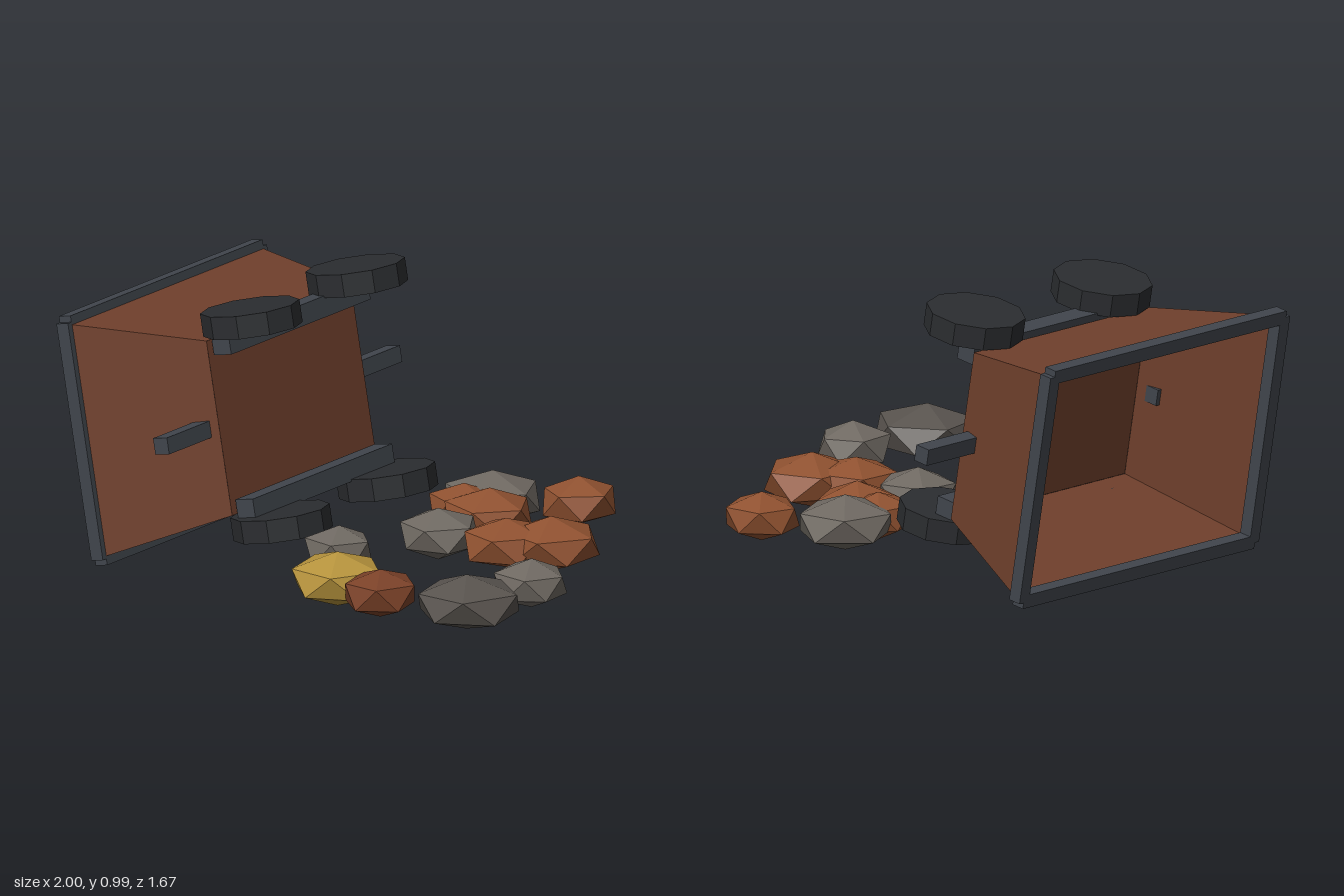
import * as THREE from 'three';

const paint = (color, side = THREE.FrontSide) =>
  new THREE.MeshStandardMaterial({ color, side, flatShading: true });

const IRON = paint(0x40454c);
const TYRE = paint(0x2b2d30);
const RUST = paint(0x70402c, THREE.DoubleSide);
const ORES = {
  copper: paint(0x8f5130),
  darkCopper: paint(0x7a4128),
  stone: paint(0x6e6861),
  darkStone: paint(0x58534e),
  gold: paint(0xb5923c),
};

function add(parent, name, geometry, material, x = 0, y = 0, z = 0) {
  const mesh = new THREE.Mesh(geometry, material);
  mesh.name = name;
  mesh.position.set(x, y, z);
  parent.add(mesh);
  return mesh;
}

const box = (w, h, d) => new THREE.BoxGeometry(w, h, d);

// Cart in its own frame: floor at y = 0, opening up, z along its length
function createCart() {
  const cart = new THREE.Group();
  cart.name = 'cart';

  // Thin flared tub, open at the top
  const tub = new THREE.CylinderGeometry(Math.SQRT2, Math.SQRT2 * 0.752, 0.47, 4, 1, true);
  tub.rotateY(Math.PI / 4).scale(0.422, 1, 0.61).translate(0, 0.235, 0);
  add(cart, 'tubWalls', tub, RUST);
  const floor = new THREE.PlaneGeometry(0.634, 0.917).rotateX(-Math.PI / 2);
  add(cart, 'tubFloor', floor, RUST);

  for (const s of [-1, 1]) {
    // Rim bars round the opening
    add(cart, 'rimLongBar', box(0.05, 0.05, 1.22), IRON, s * 0.428, 0.487, 0);
    add(cart, 'rimShortBar', box(0.86, 0.05, 0.05), IRON, 0, 0.487, s * 0.607);
    // Coupling bars at the ends, beams under the floor
    add(cart, 'couplingBar', box(0.06, 0.06, 0.27), IRON, 0, 0.06, s * 0.605);
    add(cart, 'axleBeam', box(0.075, 0.075, 0.885), IRON, s * 0.3, -0.05, 0);
    // Ten-sided wheels
    for (const e of [-1, 1]) {
      const wheel = new THREE.CylinderGeometry(0.178, 0.178, 0.083, 10);
      wheel.rotateY(Math.PI / 2).rotateZ(Math.PI / 2);
      add(cart, 'wheel', wheel, TYRE, s * 0.371, -0.12, e * 0.335);
    }
  }
  return cart;
}

// Flattened twenty-sided lump with one corner up and slightly uneven corners
function rockGeometry(radius, height, seed) {
  const geometry = new THREE.IcosahedronGeometry(1, 0);
  geometry.rotateX(-Math.atan((1 + Math.sqrt(5)) / 2));
  const p = geometry.attributes.position;
  const v = new THREE.Vector3();
  for (let i = 0; i < p.count; i++) {
    v.fromBufferAttribute(p, i);
    v.multiplyScalar(1 + 0.05 * Math.sin(v.x * 5.1 + v.y * 3.7 + v.z * 4.3 + seed * 2.4));
    p.setXYZ(i, v.x, v.y, v.z);
  }
  geometry.scale(radius / 0.9, height, radius / 0.9);
  geometry.rotateY(seed * 1.3);
  geometry.computeVertexNormals();
  return geometry;
}

// Spilled ore: kind, x, z, radius
const ROCKS = [
  ['copper', 0.385, -0.71, 0.133],
  ['stone', 0.108, -0.575, 0.175],
  ['copper', 0.09, -0.42, 0.12],
  ['copper', 0.225, -0.382, 0.158],
  ['stone', 0.215, -0.07, 0.143],
  ['copper', 0.485, -0.1, 0.155],
  ['copper', 0.622, -0.18, 0.173],
  ['stone', 0.037, 0.295, 0.118],
  ['stone', 0.86, 0.297, 0.13],
  ['gold', 0.252, 0.625, 0.17],
  ['darkCopper', 0.485, 0.7, 0.13],
  ['darkStone', 0.808, 0.633, 0.187],
];

export function createModel() {
  const model = new THREE.Group();
  model.name = 'tippedMineCart';

  // Cart lying on its side
  const cart = createCart();
  cart.rotation.z = THREE.MathUtils.degToRad(100);
  cart.position.set(-0.415, 0.542, -0.075);
  model.add(cart);

  const ore = new THREE.Group();
  ore.name = 'spilledOre';
  ROCKS.forEach(([kind, x, z, r], i) => {
    const height = 0.075 + r * 0.12;
    add(ore, kind + 'Rock', rockGeometry(r, height, i + 1), ORES[kind], x, 0.15, z);
  });
  model.add(ore);
  return model;
}
